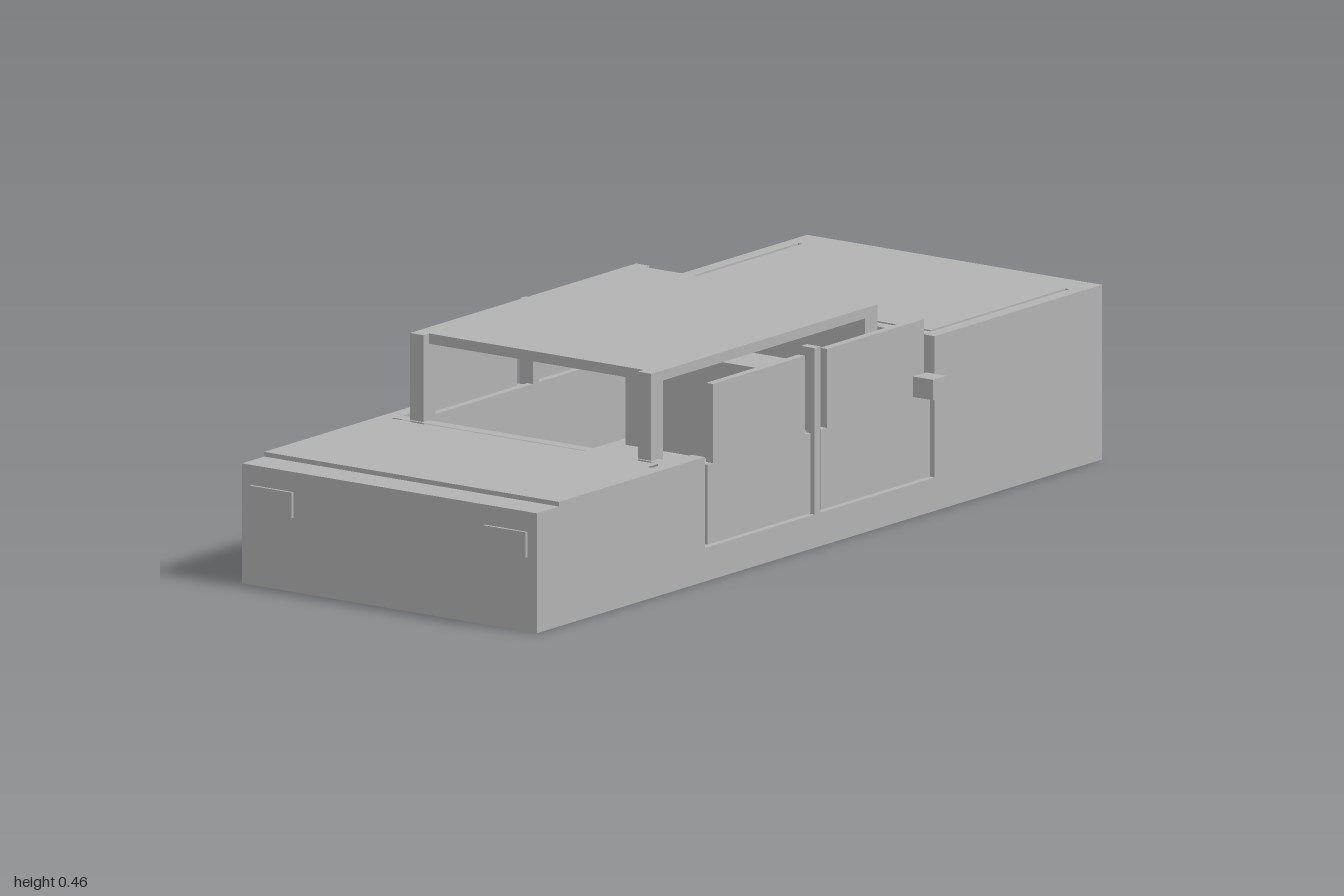
import * as THREE from 'three';

export function createModel() {
  const car = new THREE.Group();
  car.name = 'car';
  const grey = new THREE.MeshStandardMaterial({ color: 0xb2b2b2 });
  grey.name = 'body grey';

  const add = (name, geometry) => {
    const mesh = new THREE.Mesh(geometry, grey);
    mesh.name = name;
    car.add(mesh);
    return mesh;
  };
  // Box given by its limits on each axis
  const box = (name, x0, x1, y0, y1, z0, z1) => {
    const mesh = add(name, new THREE.BoxGeometry(x1 - x0, y1 - y0, z1 - z0));
    mesh.position.set((x0 + x1) / 2, (y0 + y1) / 2, (z0 + z1) / 2);
    return mesh;
  };
  // The same box on both sides of the car
  const pair = (name, x0, x1, ...rest) => {
    box(name + 'Left', x0, x1, ...rest);
    box(name + 'Right', -x1, -x0, ...rest);
  };
  // Top skin with a U-shaped panel gap; the crossbar of the U is at zBar
  const skin = (name, yTop, thick, z0, z1, zBar, zEnd) => {
    const w = 0.385, a = 0.354, b = 0.344;
    const s = Math.sign(zEnd - zBar) * 0.01;
    const points = (list) => list.map(([x, z]) => new THREE.Vector2(x, -z));
    const shape = new THREE.Shape(points([[-w, z0], [w, z0], [w, z1], [-w, z1]]));
    shape.holes.push(new THREE.Path(points([
      [-a, zBar], [a, zBar], [a, zEnd], [b, zEnd],
      [b, zBar + s], [-b, zBar + s], [-b, zEnd], [-a, zEnd],
    ])));
    const geometry = new THREE.ExtrudeGeometry(shape, { depth: thick, bevelEnabled: false });
    geometry.rotateX(-Math.PI / 2);
    add(name, geometry).position.y = yTop - thick;
  };

  // Lower body and the two end blocks
  box('underbody', -0.385, 0.385, 0, 0.072, -0.993, 0.993);
  box('tallEndBlock', -0.385, 0.385, 0.072, 0.366, -0.993, -0.405);
  skin('tallEndLid', 0.376, 0.01, -0.993, -0.405, -0.435, -0.92);
  box('lowEndBlock', -0.385, 0.385, 0.072, 0.258, 0.475, 0.993);
  skin('lowEndLid', 0.268, 0.01, 0.475, 0.915, 0.503, 0.905);
  pair('cornerPanel', 0.35, 0.385, 0.072, 0.268, 0.402, 0.475);

  // Cabin sills, doors and window panes
  pair('innerSill', 0.35, 0.365, 0.072, 0.25, -0.405, 0.402);
  const doors = [
    ['Back', 0.032, 0.394, 0.05, 0.375],
    ['Front', -0.388, -0.006, -0.368, -0.026],
  ];
  for (const [end, z0, z1, w0, w1] of doors) {
    pair('door' + end, 0.358, 0.385, 0.078, 0.25, z0, z1);
    pair('window' + end, 0.367, 0.385, 0.25, 0.42, w0, w1);
  }
  pair('middlePillar', 0.35, 0.385, 0.072, 0.43, -0.003, 0.018);

  // Dashboard
  box('dashboard', -0.315, 0.315, 0.072, 0.285, -0.368, -0.26);
  box('dashboardShelf', -0.35, 0.35, 0.072, 0.262, -0.405, -0.368);

  // Roof frame
  pair('roofRail', 0.28, 0.315, 0.433, 0.455, -0.255, 0.455);
  pair('lowEndPillar', 0.28, 0.315, 0.262, 0.455, 0.455, 0.497);
  pair('tallEndPillar', 0.28, 0.315, 0.28, 0.455, -0.298, -0.255);
  box('roof', -0.28, 0.28, 0.433, 0.455, -0.282, 0.477);

  // Side mirrors
  pair('mirror', 0.385, 0.438, 0.26, 0.304, -0.375, -0.328);

  // Lamp plates
  pair('lowEndLamp', 0.25, 0.36, 0.16, 0.215, 0.992, 1);
  pair('tallEndLamp', 0.25, 0.36, 0.14, 0.195, -1, -0.992);

  return car;
}
